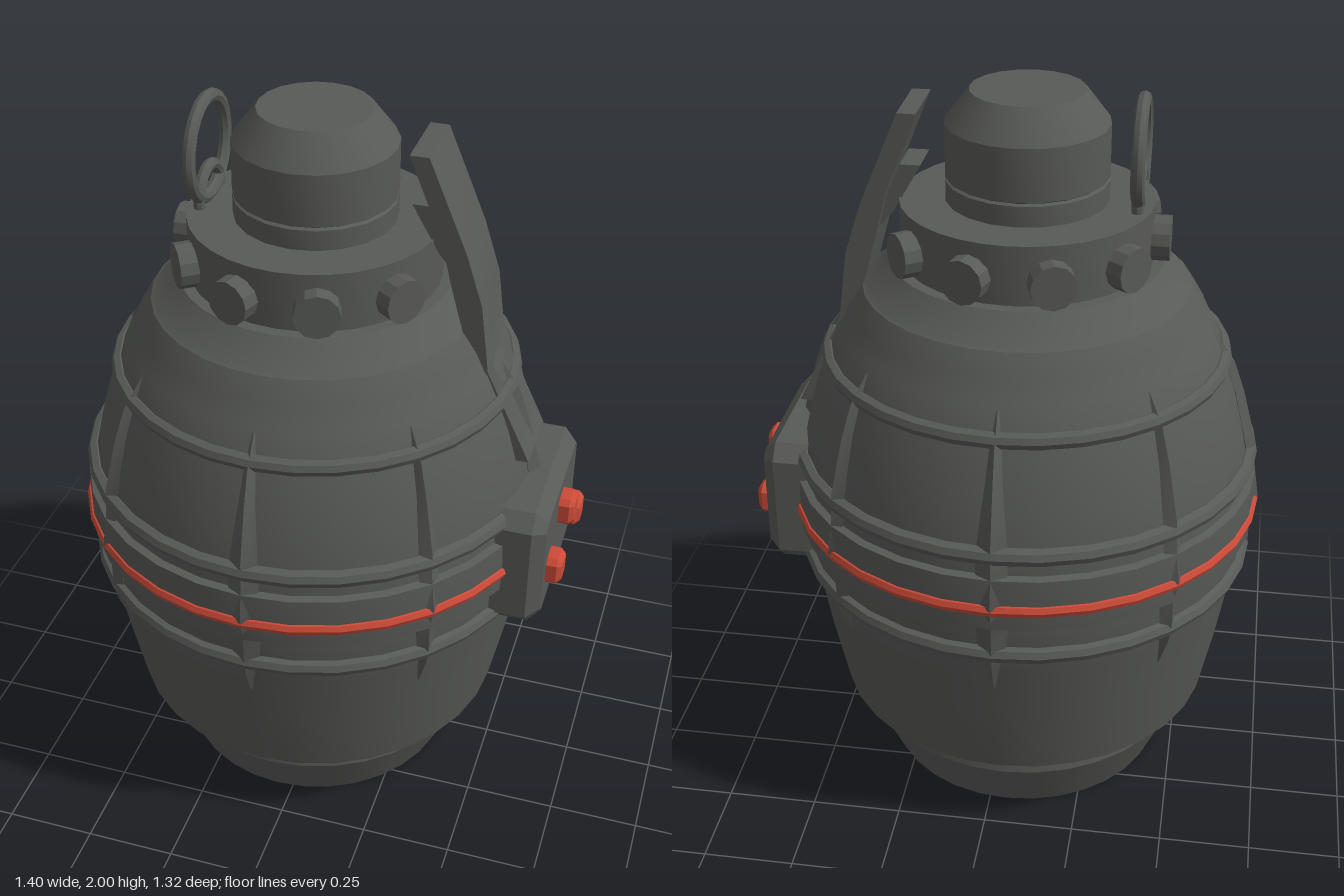
import * as THREE from 'three';
import { toCreasedNormals } from 'three/addons/utils/BufferGeometryUtils.js';

const AXIS_X = -0.045; // the round body sits slightly off centre, balanced by the side box

// Body outline as [radius, height]
const BODY = [
  [0, 0], [0.40, 0], [0.47, 0.16], [0.465, 0.2], [0.535, 0.24], [0.575, 0.44], [0.605, 0.62],
  [0.62, 0.7], [0.622, 0.78], [0.645, 0.785], [0.648, 0.85], [0.645, 0.935], [0.625, 0.94],
  [0.62, 1.0], [0.598, 1.1], [0.57, 1.2], [0.54, 1.28], [0.505, 1.36], [0.497, 1.37],
  [0.475, 1.42], [0.44, 1.475], [0.43, 1.48], [0.365, 1.55], [0, 1.55],
];

function bodyRadius(y) {
  for (let i = 2; i < BODY.length; i++) {
    const [r0, y0] = BODY[i - 1], [r1, y1] = BODY[i];
    if (y <= y1) return r0 + (r1 - r0) * (y - y0) / (y1 - y0);
  }
  return 0;
}

export function createModel() {
  const model = new THREE.Group();
  model.name = 'ribbedCanister';
  const casing = new THREE.MeshStandardMaterial({ color: 0x585a57 });
  casing.name = 'dark grey metal';
  const accent = new THREE.MeshStandardMaterial({ color: 0xcc4a38 });
  accent.name = 'red accent';

  const round = new THREE.Group();
  round.name = 'roundBody';
  round.position.x = AXIS_X;
  model.add(round);

  function add(name, geometry, material, parent = model) {
    const mesh = new THREE.Mesh(toCreasedNormals(geometry, 0.45), material);
    mesh.name = name;
    parent.add(mesh);
    return mesh;
  }
  const lathe = (points, segments) =>
    new THREE.LatheGeometry(points.map(([r, y]) => new THREE.Vector2(r, y)), segments);
  const polygon = (points) => new THREE.Shape(points.map(([x, y]) => new THREE.Vector2(x, y)));

  // Body, neck and cap
  add('body', lathe(BODY, 32), casing, round);
  add('neck', lathe([[0.335, 1.53], [0.335, 1.71], [0, 1.71]], 32), casing, round);
  add('cap', lathe([
    [0.215, 1.7], [0.215, 1.765], [0.207, 1.77], [0.215, 1.775], [0.215, 1.915], [0.15, 2], [0, 2],
  ], 20), casing, round);

  // Hoops around the body
  function hoop(name, y, radius, tube, material) {
    const mesh = add(name, new THREE.TorusGeometry(radius, tube, 8, 32), material, round);
    mesh.rotation.x = Math.PI / 2;
    mesh.position.y = y;
  }
  hoop('lowerHoop', 0.69, 0.617, 0.025, casing);
  hoop('middleHoop', 0.995, 0.62, 0.025, casing);
  hoop('upperHoop', 1.28, 0.535, 0.023, casing);
  hoop('redStripe', 0.845, 0.638, 0.02, accent);

  // Tapered ribs that follow the body outline: [height, half width, protrusion]
  const RIB = [
    [1.35, 0.004, 0.002], [1.27, 0.015, 0.022], [1.18, 0.022, 0.022], [1.03, 0.038, 0.024],
    [0.95, 0.042, 0.018], [0.85, 0.024, 0.01], [0.78, 0.044, 0.018], [0.7, 0.035, 0.02],
    [0.65, 0.02, 0.02], [0.56, 0.004, 0.002],
  ];
  for (let i = 0; i < 8; i++) {
    const geometry = new THREE.CylinderGeometry(1, 1, 1, 4, RIB.length - 1, true);
    const position = geometry.attributes.position;
    const slim = i % 2 ? 0.7 : 1;
    for (let v = 0; v < position.count; v++) {
      const row = Math.round((0.5 - position.getY(v)) * (RIB.length - 1));
      const [y, width, bulge] = RIB[row];
      position.setXYZ(v, bodyRadius(y) + bulge * position.getX(v), y, width * slim * position.getZ(v));
    }
    add('rib', geometry, casing, round).rotation.y = i * Math.PI / 4;
  }

  // Bolts around the neck, leaving the lever side free
  for (let i = 1; i < 10; i++) {
    const geometry = new THREE.CylinderGeometry(0.06, 0.06, 0.1, 12);
    geometry.rotateZ(-Math.PI / 2);
    geometry.translate(0.328, 1.615, 0);
    add('neckBolt', geometry, casing, round).rotation.y = i * Math.PI / 5;
  }

  // Pull ring and its small link
  function pullRing(name, y, radius, tube) {
    const mesh = add(name, new THREE.TorusGeometry(radius, tube, 8, 20), casing);
    mesh.rotation.y = Math.PI / 2;
    mesh.position.set(-0.338, y, 0);
  }
  pullRing('pullRing', 1.85, 0.132, 0.018);
  pullRing('pullRingLink', 1.72, 0.075, 0.016);

  // Safety lever: a side outline given the plate's width
  function plate(name, points, width) {
    const geometry = new THREE.ExtrudeGeometry(polygon(points), { depth: width, bevelEnabled: false });
    geometry.translate(0, 0, -width / 2);
    add(name, geometry, casing);
  }
  plate('lever', [
    [0.225, 1.95], [0.31, 1.74], [0.345, 1.6], [0.4, 1.4], [0.5, 1.11],
    [0.575, 1.11], [0.45, 1.37], [0.425, 1.56], [0.38, 1.7], [0.275, 1.95],
  ], 0.2);
  plate('leverHook', [[0.225, 1.8], [0.3, 1.67], [0.335, 1.63], [0.34, 1.66], [0.28, 1.8]], 0.12);

  // Chamfered blocks facing +x, with x as the outer face
  function block(name, x, y, z, width, height, depth, bevel, material) {
    const w = width / 2 - bevel, h = height / 2 - bevel, c = bevel * 0.6;
    const outline = polygon([
      [-w + c, -h], [w - c, -h], [w, -h + c], [w, h - c],
      [w - c, h], [-w + c, h], [-w, h - c], [-w, -h + c],
    ]);
    const geometry = new THREE.ExtrudeGeometry(outline, {
      depth: depth - bevel * 2, bevelThickness: bevel, bevelSize: bevel, bevelSegments: 1,
    });
    geometry.translate(0, 0, bevel - depth);
    geometry.rotateY(Math.PI / 2);
    add(name, geometry, material).position.set(x, y, z);
  }
  block('controlBox', 0.658, 0.845, 0, 0.5, 0.37, 0.17, 0.035, casing);
  for (const [y, z] of [[0.915, 0], [0.812, 0.135], [0.812, -0.135]]) {
    block('button', 0.7, y, z, 0.084, 0.084, 0.07, 0.013, accent);
  }

  return model;
}
